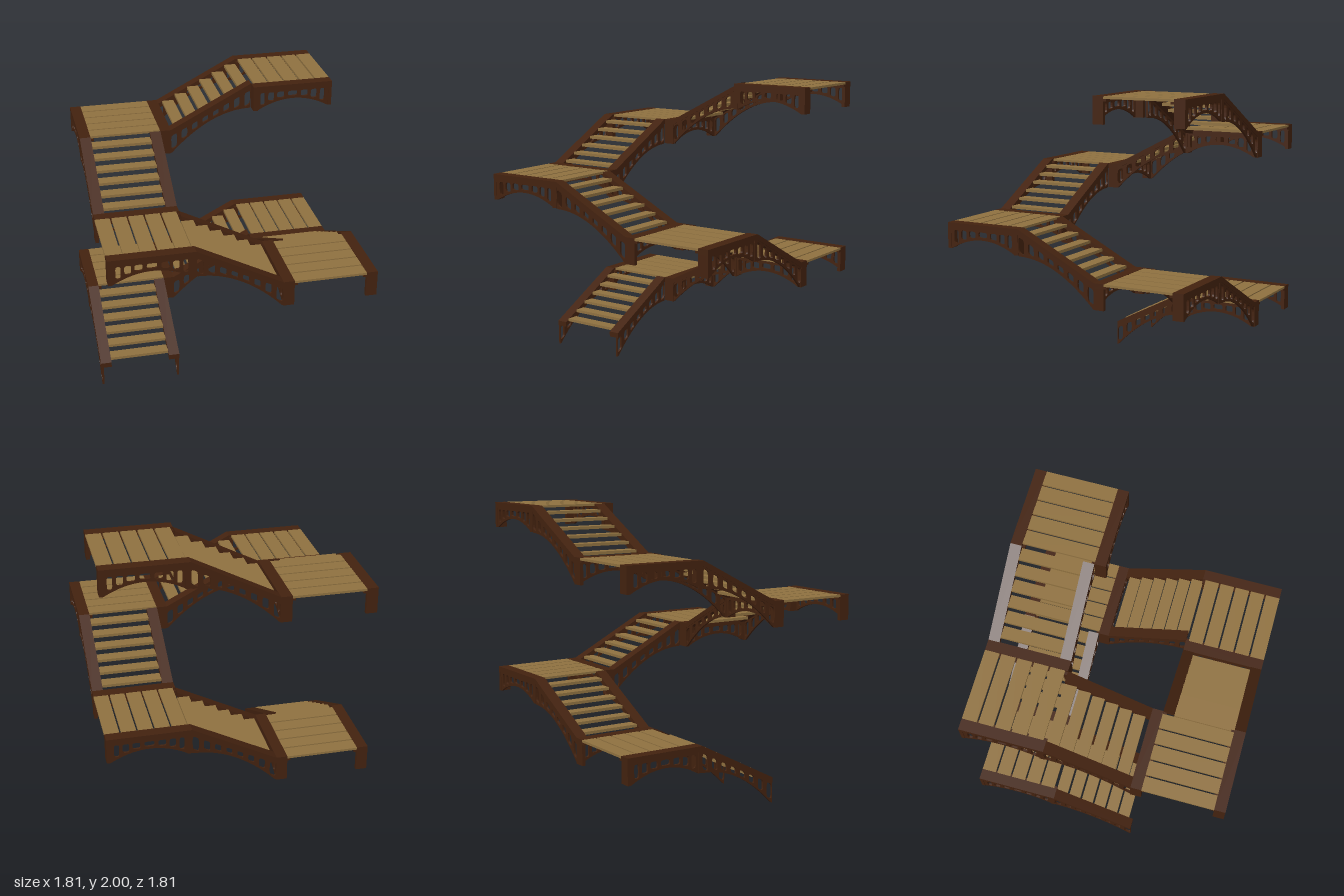
import * as THREE from 'three';

const HALF = 0.905;      // half of the plan size
const START = 0.255;     // z where a flight begins
const FLIGHT = 0.585;    // flight length
const LAND = 0.575;      // landing length
const DEPTH = 0.18;      // girder depth at its ends
const CROWN = 0.106;     // girder depth at the arch crown
const RISE = 1.82 / 6;   // climb of one flight
const CAP_W = 0.077, CAP_T = 0.037, WEB_T = 0.015;

const darkWood = new THREE.MeshStandardMaterial({ color: 0x43220f });
darkWood.name = 'darkWood';
const plankWood = new THREE.MeshStandardMaterial({ color: 0x8f7140 });
plankWood.name = 'plankWood';

// Turn an outline of (distance along the run, height) into a plate of given thickness
function plate(shape, thickness) {
  const g = new THREE.ExtrudeGeometry(shape, { depth: thickness, bevelEnabled: false, curveSegments: 4 });
  return g.rotateY(Math.PI / 2);
}

// Thin arched web with rounded openings; a rise shears it along the slope
function webGeometry(length, rise, margin, slots) {
  const p = (s, d) => new THREE.Vector2(s, -d + (s / length) * rise);
  const half = length / 2 - margin;
  const arch = (s) => CROWN + (DEPTH - CROWN) * Math.min(1, ((s - length / 2) / half) ** 2);
  const pts = [p(0, CAP_T), p(0, DEPTH)];
  for (let i = 0; i <= 24; i++) {
    const s = margin + (i / 24) * 2 * half;
    pts.push(p(s, arch(s)));
  }
  pts.push(p(length, DEPTH), p(length, CAP_T));
  const shape = new THREE.Shape(pts);
  for (const [offset, width] of slots) {
    const c = length / 2 + offset;
    const top = 0.05, bottom = arch(c) - 0.018;
    const hole = [];
    for (let i = 0; i < 20; i++) {
      const a = (i / 20) * Math.PI * 2;
      const sq = (v) => Math.sign(v) * Math.sqrt(Math.abs(v));
      hole.push(p(c + sq(Math.cos(a)) * width / 2, (top + bottom) / 2 + sq(Math.sin(a)) * (bottom - top) / 2));
    }
    shape.holes.push(new THREE.Path(hole));
  }
  return plate(shape, WEB_T);
}

// Thick handrail-like cap on top of a girder
function capGeometry(length, rise) {
  return plate(new THREE.Shape([
    new THREE.Vector2(0, 0), new THREE.Vector2(0, -CAP_T),
    new THREE.Vector2(length, rise - CAP_T), new THREE.Vector2(length, rise),
  ]), CAP_W);
}

function add(group, name, geometry, material, x, y, z) {
  const mesh = new THREE.Mesh(geometry, material);
  mesh.name = name;
  mesh.position.set(x, y, z);
  group.add(mesh);
}

function box(group, name, material, x0, x1, y0, y1, z0, z1) {
  add(group, name, new THREE.BoxGeometry(x1 - x0, y1 - y0, z1 - z0), material,
    (x0 + x1) / 2, (y0 + y1) / 2, (z0 + z1) / 2);
}

const flightSlots = [];
for (let i = 0; i < 8; i++) flightSlots.push([(i - 3.5) * 0.0765, 0.045]);
const landingSlots = [[0, 0.07]];
for (const side of [-1, 1]) {
  for (const [o, w] of [[0.087, 0.055], [0.157, 0.046], [0.219, 0.036]]) landingSlots.push([side * o, w]);
}
const flightWeb = webGeometry(FLIGHT, RISE, 0.01, flightSlots);
const flightCap = capGeometry(FLIGHT, RISE);
const landingWeb = webGeometry(LAND, 0, 0.03, landingSlots);
const landingCap = capGeometry(LAND, 0);

// One flight climbing towards -z on the -x side, with its landing; y = 0 is the lower deck
function createUnit() {
  const unit = new THREE.Group();
  const zl = START - FLIGHT;
  const inL = -HALF + CAP_W;

  // sloping girders and treads
  const flight = new THREE.Group();
  flight.name = 'stairFlight';
  const fx = -0.33;
  add(flight, 'outerStringerCap', flightCap, darkWood, -HALF, 0, START);
  add(flight, 'innerStringerCap', flightCap, darkWood, fx - CAP_W, 0, START);
  add(flight, 'outerStringerWeb', flightWeb, darkWood, -HALF + 0.004, 0, START);
  add(flight, 'innerStringerWeb', flightWeb, darkWood, fx - 0.004 - WEB_T, 0, START);
  for (let i = 0; i < 6; i++) {
    const s = 0.0725 + i * 0.0945;
    const y = s * RISE / FLIGHT - 0.027;
    box(flight, 'tread', plankWood, inL, fx - CAP_W, y - 0.01, y + 0.01, START - s - 0.0425, START - s + 0.0425);
  }

  // level girders, end posts, joists and deck planks
  const landing = new THREE.Group();
  landing.name = 'landing';
  landing.position.y = RISE;
  const inR = -0.33, outR = inR + CAP_W;
  for (const [side, x0, webX] of [['outer', -HALF, -HALF + 0.004], ['inner', inR, outR - 0.004 - WEB_T]]) {
    add(landing, side + 'GirderCap', landingCap, darkWood, x0, 0, zl);
    add(landing, side + 'GirderWeb', landingWeb, darkWood, webX, 0, zl);
    box(landing, side + 'StartPost', darkWood, x0, x0 + CAP_W, -DEPTH, -CAP_T, zl - 0.034, zl);
    box(landing, side + 'EndPost', darkWood, x0, x0 + CAP_W, -DEPTH, -CAP_T, -HALF, -HALF + 0.024);
  }
  for (const x of [inL, inR - 0.022]) {
    box(landing, 'joist', darkWood, x, x + 0.022, -0.033, -0.017, -HALF, zl);
  }
  for (let i = 0; i < 5; i++) {
    const z = -HALF + i * 0.1135;
    box(landing, 'deckPlank', plankWood, inL, inR, -0.017, -0.001, z, z + 0.101);
  }
  unit.add(flight, landing);
  return unit;
}

export function createModel() {
  const model = new THREE.Group();
  model.name = 'squareSpiralStaircase';
  for (let i = 0; i < 6; i++) {
    const unit = createUnit();
    unit.name = 'stairUnit' + (i + 1);
    unit.position.y = DEPTH + i * RISE;
    unit.rotation.y = -i * Math.PI / 2;
    model.add(unit);
  }
  return model;
}
